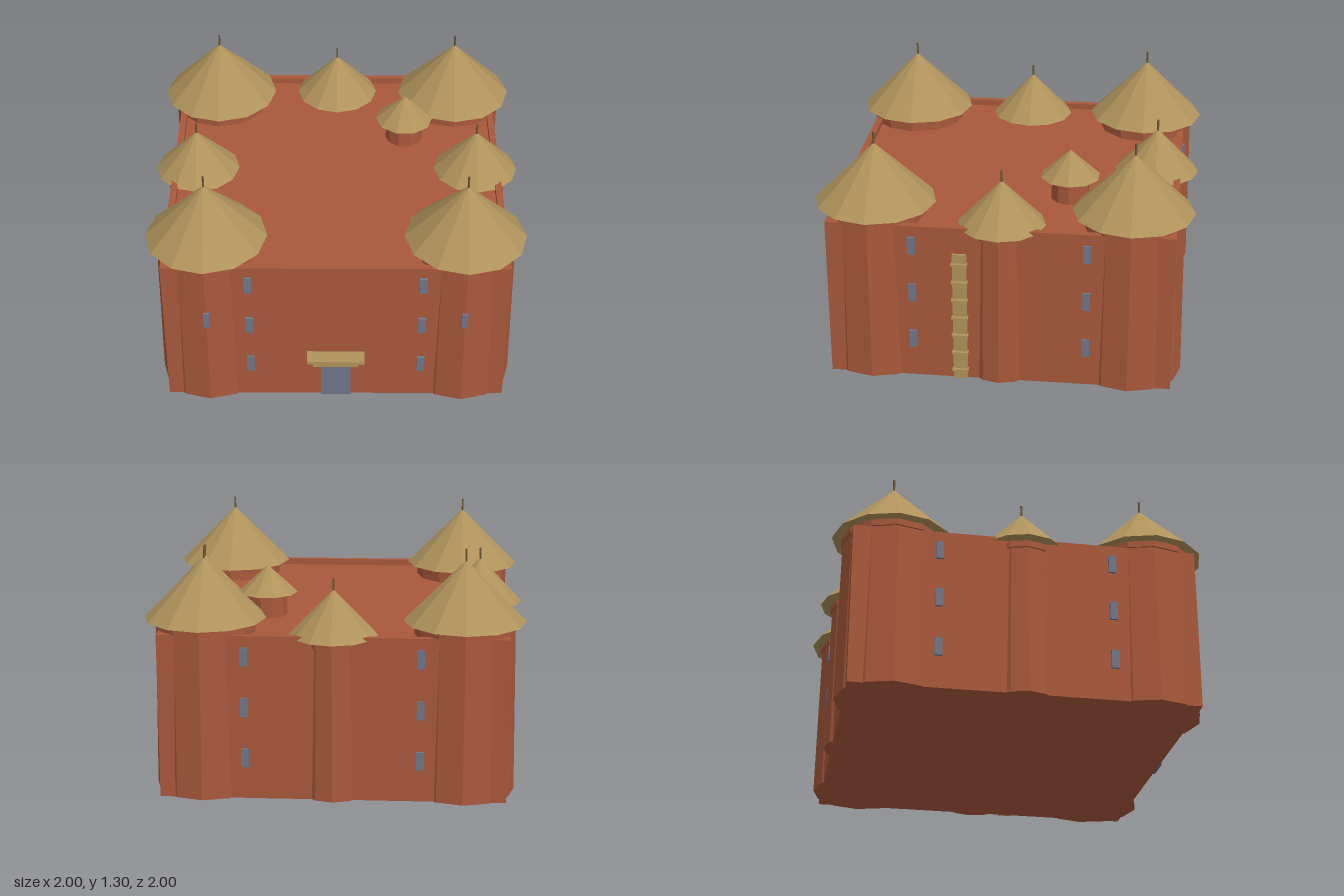
import * as THREE from 'three';

const mat = (name, color) => {
  const m = new THREE.MeshStandardMaterial({ color, flatShading: true });
  m.name = name;
  return m;
};

export function createModel() {
  const clay = mat('red clay', 0xa9593c);
  const thatch = mat('straw thatch', 0xb0935b);
  const slate = mat('slate shutter', 0x70778a);
  const wood = mat('dark wood', 0x6e5836);

  const root = new THREE.Group();
  root.name = 'clayFort';
  root.position.z = -0.003;

  const add = (parent, name, geo, material, x, y, z) => {
    const mesh = new THREE.Mesh(geo, material);
    mesh.name = name;
    mesh.position.set(x, y, z);
    parent.add(mesh);
    return mesh;
  };
  // Box given by its bottom height
  const box = (parent, name, material, w, h, d, x, y, z) =>
    add(parent, name, new THREE.BoxGeometry(w, h, d), material, x, y + h / 2, z);
  // Tapered drum given by its bottom height
  const drum = (parent, name, material, rTop, rBottom, h, y, sides) =>
    add(parent, name, new THREE.CylinderGeometry(rTop, rBottom, h, sides), material, 0, y + h / 2, 0);

  // Main block with a sunken roof deck and parapet
  const W = 0.905, T = 0.035, DECK = 0.845, TOP = 0.88;
  box(root, 'mainBlock', clay, 2 * W, DECK, 2 * W, 0, 0, 0);
  for (const s of [-1, 1]) {
    box(root, 'parapet', clay, 2 * W, TOP - DECK, T, 0, DECK, s * (W - T / 2));
    box(root, 'parapetSide', clay, T, TOP - DECK, 2 * (W - T), s * (W - T / 2), DECK, 0);
  }

  // Round tower: tapered drum, collar, conical roof, finial
  function tower(name, x, z, o) {
    const g = new THREE.Group();
    g.name = name;
    g.position.set(x, 0, z);
    drum(g, 'drum', clay, o.rTop, o.rBase, o.eave - o.base, o.base, o.sides);
    drum(g, 'collar', clay, o.rCollar, o.rCollar, o.collarH, o.eave - o.collarH - 0.01, o.sides);
    drum(g, 'thatchRoof', thatch, 0, o.rRoof, o.apex - o.eave, o.eave, o.sides);
    if (o.finial) drum(g, 'finial', wood, 0.006, 0.006, o.finial + 0.02, o.apex - 0.02, 6);
    root.add(g);
    return g;
  }

  const corner = { rTop: 0.262, rBase: 0.275, rCollar: 0.272, collarH: 0.03, base: 0,
    eave: 0.92, apex: 1.24, rRoof: 0.32, finial: 0.06, sides: 12 };
  const middle = { rTop: 0.165, rBase: 0.177, rCollar: 0.176, collarH: 0.032, base: 0,
    eave: 0.86, apex: 1.1, rRoof: 0.23, finial: 0.055, sides: 12 };
  for (const sx of [-1, 1]) {
    for (const sz of [-1, 1]) tower('cornerTower', sx * 0.678, sz * 0.678, corner);
    tower('sideTower', sx * 0.77, 0, middle);
  }
  tower('backTower', 0, -0.77, middle);

  // Small stair turret on the deck
  tower('roofTurret', 0.383, -0.322, { rTop: 0.1, rBase: 0.104, rCollar: 0.115, collarH: 0.018,
    base: 0.83, eave: 0.972, apex: 1.12, rRoof: 0.16, finial: 0, sides: 10 }).rotation.y = Math.PI / 2;

  // Three rows of windows on each of the four walls
  for (let i = 0; i < 4; i++) {
    const wall = new THREE.Group();
    wall.name = 'wallWindows';
    wall.rotation.y = i * Math.PI / 2;
    for (const s of [-1, 1])
      for (const y of [0.175, 0.45, 0.722])
        box(wall, 'window', slate, 0.04, 0.098, 0.02, s * 0.455, y, W + 0.003);
    root.add(wall);
  }
  // Narrow windows on the front towers
  for (const s of [-1, 1])
    box(root, 'towerWindow', slate, 0.032, 0.09, 0.03, s * 0.676, 0.52, 0.942);

  // Doorway with lintel and canopy
  box(root, 'door', slate, 0.16, 0.228, 0.02, 0, 0, W + 0.002);
  box(root, 'lintel', thatch, 0.24, 0.028, 0.06, 0, 0.228, W + 0.01);
  box(root, 'canopy', thatch, 0.305, 0.018, 0.1, 0, 0.288, W + 0.035);

  // Ladder: plank with projecting steps
  box(root, 'ladderPlank', thatch, 0.018, 0.735, 0.074, W + 0.006, 0, 0.205);
  for (let i = 0; i < 7; i++)
    box(root, 'ladderStep', thatch, 0.035, 0.012, 0.086, W + 0.015, 0.05 + i * 0.104, 0.205);

  return root;
}
